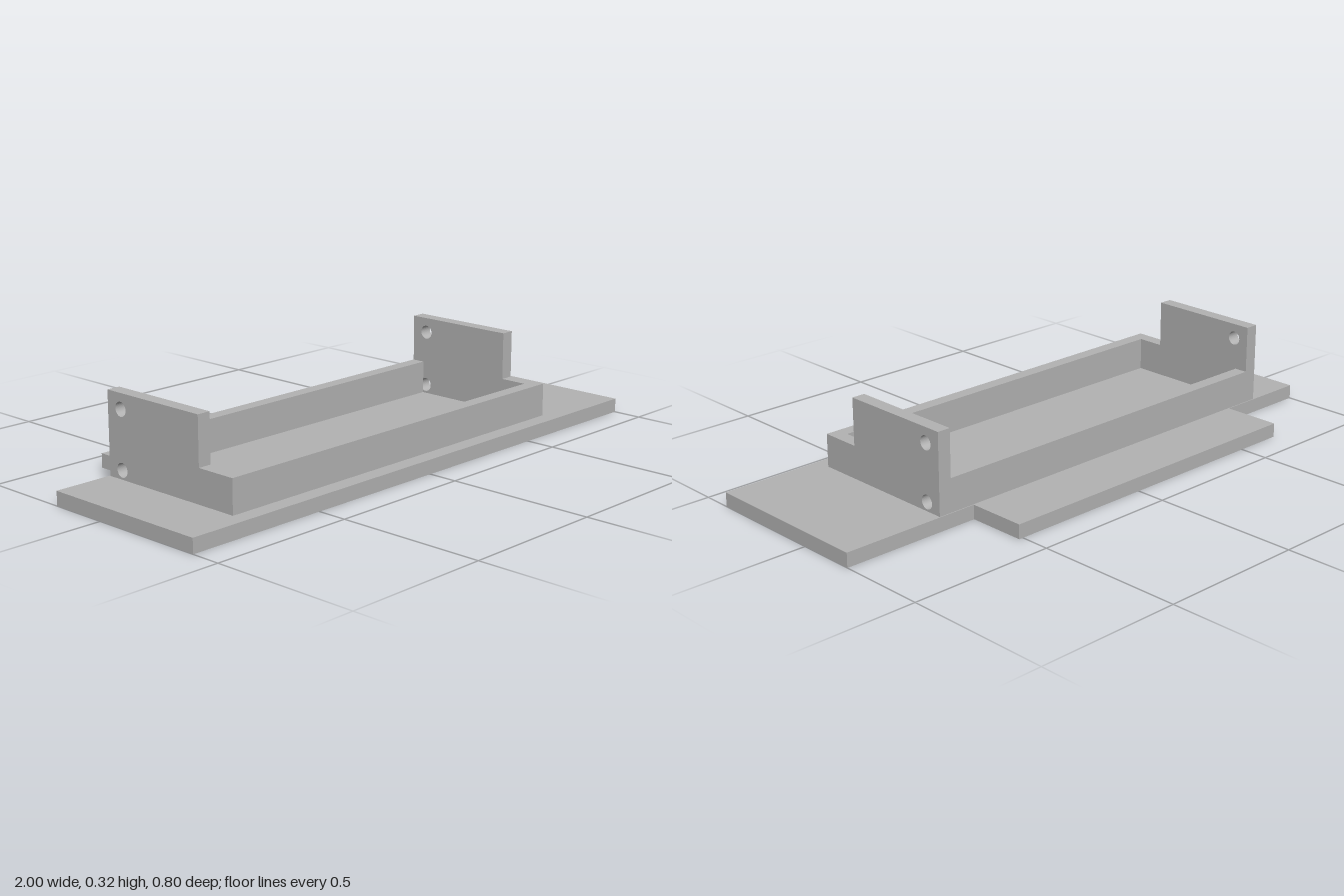
import * as THREE from 'three';

const BASE = 0.048, RIM = 0.16, TOP = 0.32, WALL = 0.046;
const LEFT = 0.648, RIGHT = -0.797, FRONT = 0.345, BACK = -0.197;

export function createModel() {
  const model = new THREE.Group();
  const grey = new THREE.MeshStandardMaterial({ color: 0xb2b2b2 });
  grey.name = 'grey';

  const add = (name, geometry) => {
    const mesh = new THREE.Mesh(geometry, grey);
    mesh.name = name;
    model.add(mesh);
    return mesh;
  };
  const box = (name, x0, x1, y0, y1, z0, z1) =>
    add(name, new THREE.BoxGeometry(x1 - x0, y1 - y0, z1 - z0))
      .position.set((x0 + x1) / 2, (y0 + y1) / 2, (z0 + z1) / 2);

  // T-shaped base plate, one solid outline (shape y = -z)
  const plate = new THREE.Shape([
    [-1, -0.4], [1, -0.4], [1, 0.2], [0.515, 0.2],
    [0.515, 0.4], [-0.665, 0.4], [-0.665, 0.2], [-1, 0.2],
  ].map(([x, y]) => new THREE.Vector2(x, y)));
  add('basePlate', new THREE.ExtrudeGeometry(plate, { depth: BASE, bevelEnabled: false })
    .rotateX(-Math.PI / 2));

  // Low front and back walls between the side panels
  box('frontWall', RIGHT + WALL, LEFT - WALL, BASE, RIM, FRONT - WALL, FRONT);
  box('backWall', RIGHT + WALL, LEFT - WALL, BASE, RIM, BACK, BACK + WALL);

  // Stepped side panels, each with two screw holes (shape x = -z)
  const side = new THREE.Shape([
    [-FRONT, BASE], [-BACK, BASE], [-BACK, TOP],
    [-0.205, TOP], [-0.205, RIM], [-FRONT, RIM],
  ].map(([x, y]) => new THREE.Vector2(x, y)));
  for (const y of [0.078, 0.269]) {
    side.holes.push(new THREE.Path().absarc(0.139, y, 0.0235, 0, Math.PI * 2, true));
  }
  const panel = new THREE.ExtrudeGeometry(side, { depth: WALL, bevelEnabled: false, curveSegments: 32 })
    .rotateY(Math.PI / 2);
  add('leftSidePanel', panel).position.x = LEFT - WALL;
  add('rightSidePanel', panel).position.x = RIGHT;

  return model;
}
